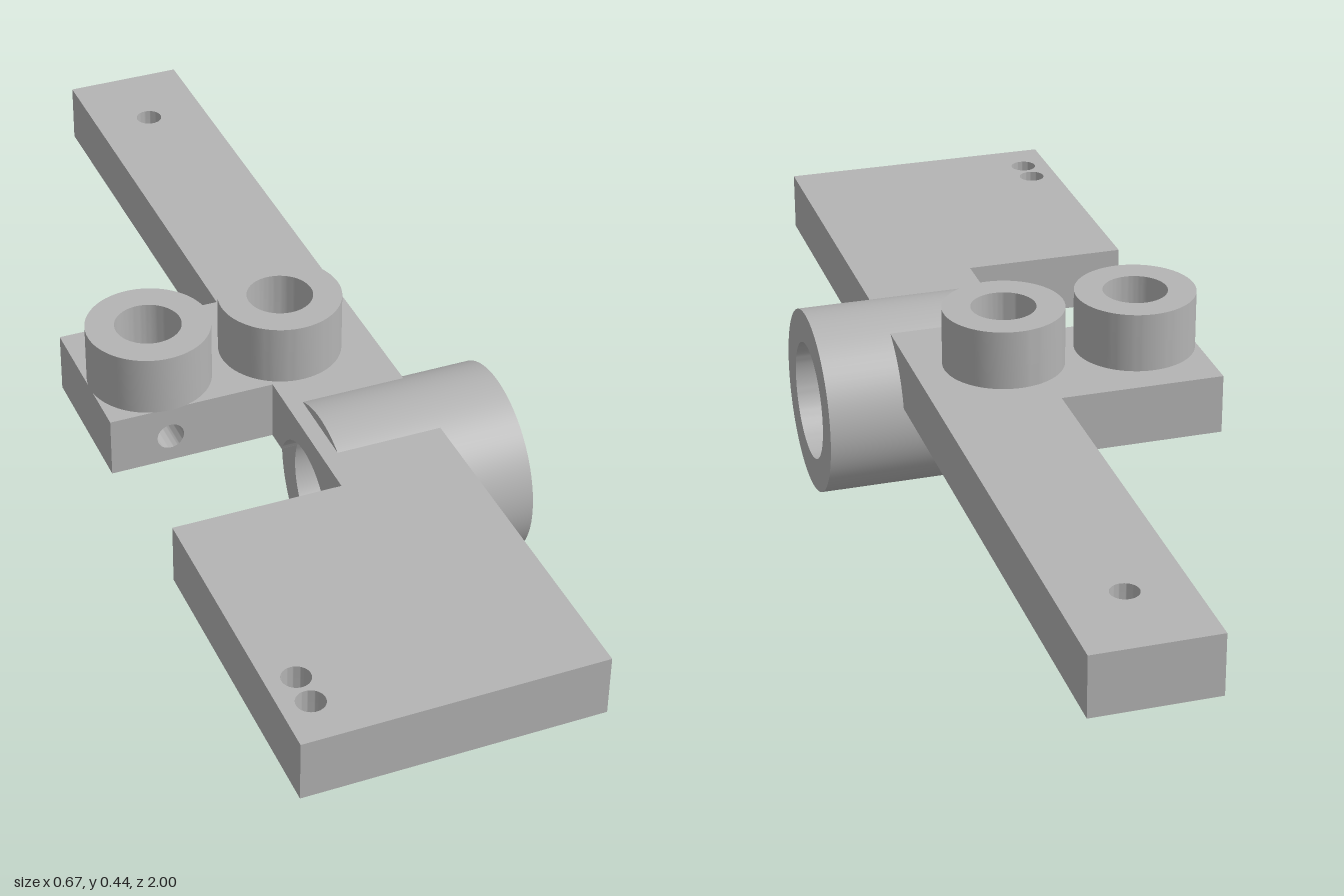
import * as THREE from 'three';
import { toCreasedNormals } from 'three/addons/utils/BufferGeometryUtils.js';

const BOTTOM = 0.22, TOP = 0.333, THICK = TOP - BOTTOM;
const LEFT = 0.195, ARM = -0.03, RIGHT = -0.337;
const BORE_Z = 0.268, BORE_Y = 0.176, BORE_R = 0.1125;

const metal = new THREE.MeshStandardMaterial({ color: 0xb4b4b4 });
metal.name = 'grey metal';

function rect(x0, y0, x1, y1) {
  return new THREE.Shape([[x0, y0], [x1, y0], [x1, y1], [x0, y1]].map(p => new THREE.Vector2(...p)));
}

function punch(shape, x, y, r) {
  shape.holes.push(new THREE.Path().absarc(x, y, r, 0, Math.PI * 2, true));
  return shape;
}

function ring(x, y, outer, inner) {
  return punch(new THREE.Shape().absarc(x, y, outer, 0, Math.PI * 2, false), x, y, inner);
}

function extrude(shape, depth) {
  return new THREE.ExtrudeGeometry(shape, { depth, bevelEnabled: false, curveSegments: 40 });
}

export function createModel() {
  const model = new THREE.Group();
  model.name = 'bracket';

  function add(name, geometry) {
    const mesh = new THREE.Mesh(toCreasedNormals(geometry, 0.6), metal);
    mesh.name = name;
    model.add(mesh);
  }
  // Plan shapes use (x, -z) and rise along y; side shapes use (-z, y) and run along x
  const plan = (shape, y, h) => extrude(shape, h).rotateX(-Math.PI / 2).translate(0, y, 0);
  const side = (shape, x, w) => extrude(shape, w).rotateY(Math.PI / 2).translate(x, 0, 0);

  // Long arm with its end hole
  add('arm', plan(punch(rect(ARM, -0.09, LEFT, 1), 0.08, 0.835, 0.025), BOTTOM, THICK));

  // Wide foot with two small holes
  const foot = rect(RIGHT, -1, LEFT, -0.435);
  punch(foot, -0.285, -0.855, 0.025);
  punch(foot, -0.285, -0.915, 0.025);
  add('foot', plan(foot, BOTTOM, THICK));

  // Bridge between arm and foot, cut away from below by the bore
  const start = Math.asin((BOTTOM - BORE_Y) / BORE_R);
  const bridge = new THREE.Shape();
  bridge.moveTo(-0.09, BOTTOM);
  bridge.lineTo(-0.09, TOP);
  bridge.lineTo(-0.435, TOP);
  bridge.lineTo(-0.435, BOTTOM);
  bridge.absarc(-BORE_Z, BORE_Y, BORE_R, Math.PI - start, start, true);
  bridge.closePath();
  add('bridge', side(bridge, ARM, LEFT - ARM));

  // Cross tube
  add('tube', side(ring(-BORE_Z, BORE_Y, 0.176, BORE_R), 0, 0.337));

  // Side tab with a blind hole in its front face
  const tabFront = punch(rect(RIGHT, BOTTOM, ARM, TOP), -0.225, 0.272, 0.025);
  add('tabFront', extrude(tabFront, 0.12).translate(0, 0, 0));
  add('tabBack', extrude(rect(RIGHT, BOTTOM, ARM, TOP), 0.16).translate(0, 0, -0.16));

  // Two hollow bosses on the tab and arm
  for (const x of [-0.225, 0.027]) add('boss', plan(ring(x, -0.012, 0.1125, 0.06), TOP, 0.112));

  return model;
}
